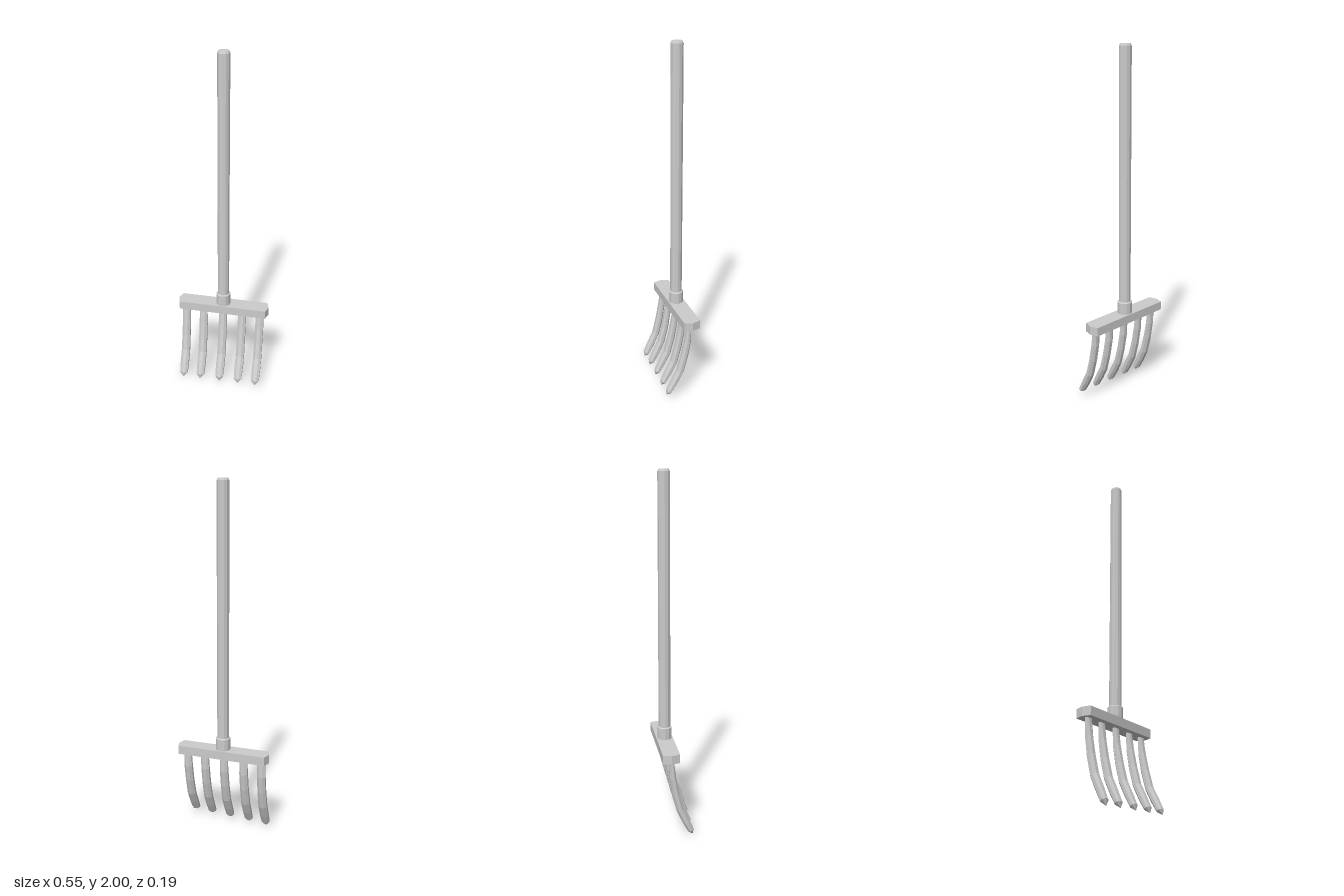
import * as THREE from 'three';

const material = new THREE.MeshStandardMaterial({ color: 0xcccccc, flatShading: true });
const AXIS_Z = -0.047;

// Tine centre line from bar to shoulder of the point: [y, z, half width, half depth]
const TINE = [
  [0.47, -0.043, 0.022, 0.010],
  [0.36, -0.035, 0.024, 0.018],
  [0.26, -0.018, 0.024, 0.020],
  [0.16, 0.007, 0.025, 0.020],
  [0.09, 0.040, 0.025, 0.020],
  [0.030, 0.070, 0.023, 0.017],
  [0.004, 0.082, 0.001, 0.001],
];

// Sweep an eight-sided section down the curved centre line
function tineGeometry(lift, reach) {
  const sides = 8, positions = [], index = [];
  TINE.forEach(([y, z, w, d], i) => {
    const a = TINE[Math.max(i - 1, 0)], b = TINE[Math.min(i + 1, TINE.length - 1)];
    const dir = new THREE.Vector2(b[1] - a[1], b[0] - a[0]).normalize();
    const t = i / (TINE.length - 1);
    for (let s = 0; s < sides; s++) {
      const angle = ((s + 0.5) / sides) * Math.PI * 2;
      const k = 1 / Math.cos(Math.PI / sides);
      const side = Math.cos(angle) * w * k, out = Math.sin(angle) * d * k;
      positions.push(side, y + lift * t + dir.x * out, z + reach * t - dir.y * out);
    }
  });
  const rings = TINE.length;
  for (let i = 0; i < rings - 1; i++) {
    for (let s = 0; s < sides; s++) {
      const a = i * sides + s, b = i * sides + (s + 1) % sides;
      index.push(a, b, a + sides, b, b + sides, a + sides);
    }
  }
  for (let s = 1; s < sides - 1; s++) {
    const e = (rings - 1) * sides;
    index.push(0, s + 1, s, e, e + s, e + s + 1);
  }
  const geometry = new THREE.BufferGeometry();
  geometry.setAttribute('position', new THREE.Float32BufferAttribute(positions, 3));
  geometry.setIndex(index);
  geometry.computeVertexNormals();
  return geometry;
}

export function createModel() {
  const model = new THREE.Group();
  model.name = 'gardenFork';
  const add = (name, geometry, x = 0, y = 0, z = 0) => {
    const mesh = new THREE.Mesh(geometry, material);
    mesh.name = name;
    mesh.position.set(x, y, z);
    model.add(mesh);
  };

  // Shaft with a small bevel at the top
  const lathe = (points) => new THREE.LatheGeometry(points.map(([r, y]) => new THREE.Vector2(r, y)), 12);
  add('handle', lathe([[0, 0.5], [0.034, 0.5], [0.034, 1.988], [0.028, 2], [0, 2]]), 0, 0, AXIS_Z);

  // Socket collar
  add('collar', lathe([[0, 0.49], [0.042, 0.49], [0.042, 0.57], [0.036, 0.575], [0, 0.575]]), 0, 0, AXIS_Z);

  // Crossbar with pointed ends
  const outline = new THREE.Shape([
    [-0.259, 0], [-0.273, 0.047], [-0.259, 0.095],
    [0.259, 0.095], [0.273, 0.047], [0.259, 0],
  ].map(([x, y]) => new THREE.Vector2(x, y)));
  const bar = new THREE.ExtrudeGeometry(outline, { depth: 0.05, bevelEnabled: false });
  bar.rotateX(-Math.PI / 2);
  add('crossbar', bar, 0, 0.454, 0);

  // Five curved tines, slightly uneven in length and reach
  [-0.226, -0.12, -0.001, 0.115, 0.222].forEach((x, i) => {
    add('tine' + (i + 1), tineGeometry(i * 0.005, i * 0.0033 - 0.004), x);
  });
  return model;
}
